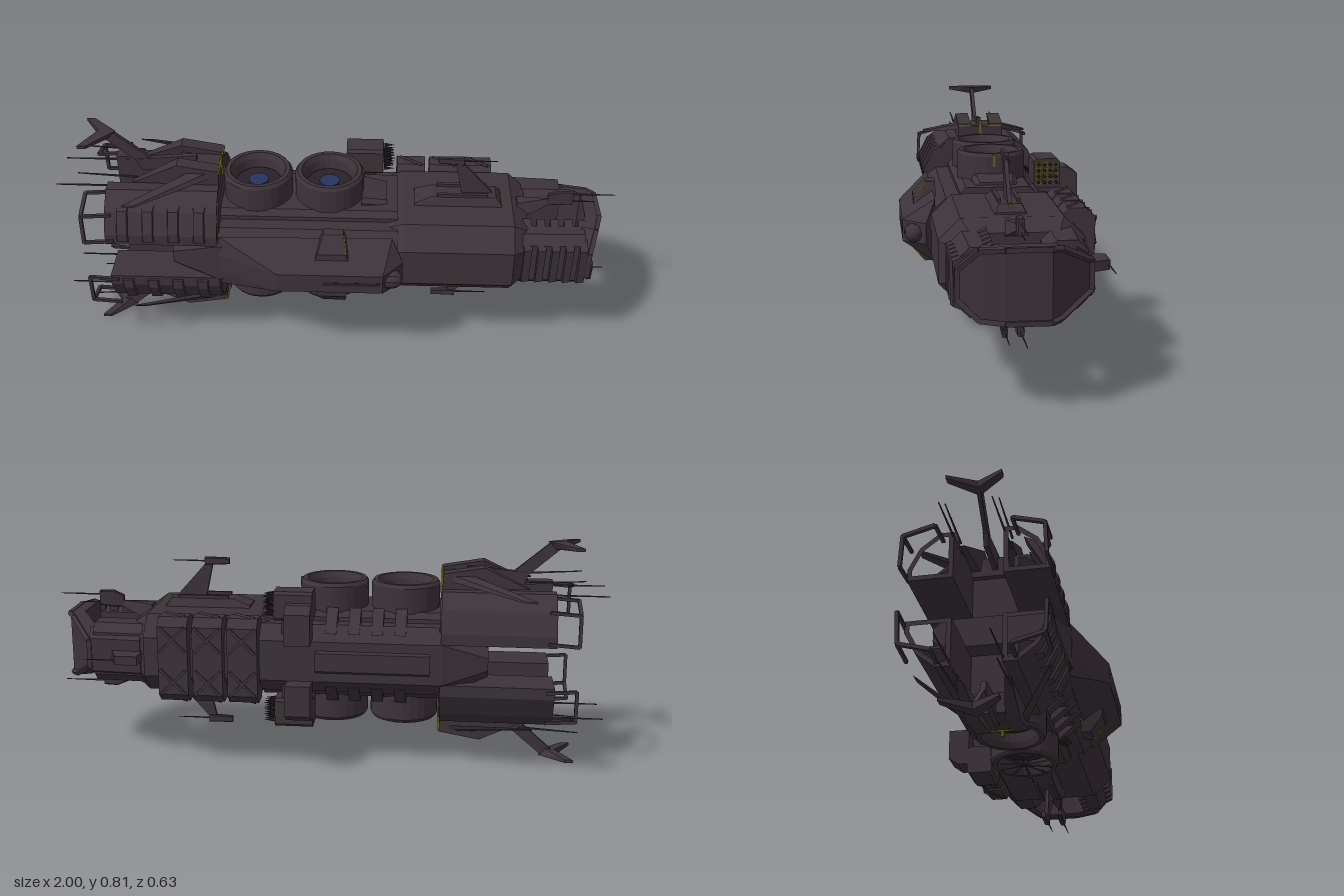
import * as THREE from 'three';
import { ConvexGeometry } from 'three/addons/geometries/ConvexGeometry.js';

const CY = 0.4025, CZ = -0.018; // mirror planes of the ship

export function createModel() {
  const ship = new THREE.Group();
  ship.name = 'spaceship';
  const mat = (name, color) => Object.assign(new THREE.MeshStandardMaterial({ color, flatShading: true }), { name });
  const hullMat = mat('hull plum grey', 0x3d333a);
  const darkMat = mat('dark recess', 0x292127);
  const oliveMat = mat('olive trim', 0x66640f);
  const blueMat = mat('blue glow', 0x27345f);

  // Reflects a geometry in a plane and restores its winding
  function reflect(geo, axis, centre) {
    const g = geo.index ? geo.toNonIndexed() : geo.clone();
    const p = g.attributes.position;
    for (let i = 0; i < p.count; i++) {
      if (axis === 'y') p.setY(i, 2 * centre - p.getY(i));
      else p.setZ(i, 2 * centre - p.getZ(i));
    }
    const v = new THREE.Vector3(), w = new THREE.Vector3();
    for (let i = 0; i < p.count; i += 3) {
      v.fromBufferAttribute(p, i + 1); w.fromBufferAttribute(p, i + 2);
      p.setXYZ(i + 1, w.x, w.y, w.z); p.setXYZ(i + 2, v.x, v.y, v.z);
    }
    g.computeVertexNormals();
    return g;
  }
  // Adds a part, with copies mirrored in y and/or z
  function add(name, geo, mirror = '', m = hullMat) {
    let list = [geo];
    if (mirror.includes('y')) list = list.concat(list.map(g => reflect(g, 'y', CY)));
    if (mirror.includes('z')) list = list.concat(list.map(g => reflect(g, 'z', CZ)));
    for (const g of list) {
      const mesh = new THREE.Mesh(g, m);
      mesh.name = name;
      ship.add(mesh);
    }
  }
  const hull = pts => new ConvexGeometry(pts.map(p => new THREE.Vector3(...p)));
  const box = (x0, x1, y0, y1, z0, z1) =>
    new THREE.BoxGeometry(x1 - x0, y1 - y0, z1 - z0).translate((x0 + x1) / 2, (y0 + y1) / 2, (z0 + z1) / 2);
  // Octagon outline as [z, y]
  const oct = (z0, z1, y0, y1, c) => [[z0 + c, y0], [z1 - c, y0], [z1, y0 + c], [z1, y1 - c],
    [z1 - c, y1], [z0 + c, y1], [z0, y1 - c], [z0, y0 + c]];
  // Convex loft of octagons along x: [x, z0, z1, y0, y1, chamfer]
  const loft = (...secs) => hull(secs.flatMap(([x, ...o]) => oct(...o).map(([z, y]) => [x, y, z])));
  // Extrudes a [z, y] outline along x, with an optional hole
  function extrudeX(outline, hole, x0, x1) {
    const v = a => a.map(([z, y]) => new THREE.Vector2(-z, y));
    const s = new THREE.Shape(v(outline));
    if (hole) s.holes.push(new THREE.Path(v(hole)));
    return new THREE.ExtrudeGeometry(s, { depth: x1 - x0, bevelEnabled: false }).rotateY(Math.PI / 2).translate(x0, 0, 0);
  }
  // Square bar between two points, optionally tapered
  function bar(a, b, w, w2 = w) {
    const p = new THREE.Vector3(...a), q = new THREE.Vector3(...b), d = q.clone().sub(p);
    const g = new THREE.CylinderGeometry(w2 * 0.7, w * 0.7, d.length(), 4).rotateY(Math.PI / 4);
    g.applyQuaternion(new THREE.Quaternion().setFromUnitVectors(new THREE.Vector3(0, 1, 0), d.normalize()));
    return g.translate(...p.add(q).multiplyScalar(0.5).toArray());
  }

  // Main hull
  add('rearHull', loft([-0.58, -0.22, 0.18, 0.35, 0.455, 0.03], [-0.42, -0.25, 0.214, 0.28, 0.525, 0.05], [0.22, -0.25, 0.214, 0.28, 0.525, 0.05]));
  add('engineBulkhead', loft([-0.54, -0.22, 0.184, 0.46, 0.62, 0.06], [-0.41, -0.22, 0.184, 0.46, 0.62, 0.06]), 'y');
  add('deck', loft([-0.43, -0.15, 0.114, 0.5, 0.56, 0.02], [0.22, -0.15, 0.114, 0.5, 0.56, 0.02]), 'y');
  add('forwardHull', loft([0.16, -0.235, 0.2, 0.29, 0.515, 0.06], [0.24, -0.253, 0.217, 0.262, 0.543, 0.07],
    [0.63, -0.253, 0.217, 0.262, 0.543, 0.07], [0.685, -0.21, 0.17, 0.3, 0.505, 0.05]));

  // Left side bulge with its gun pod and angled armour
  add('sideBulge', hull([[-0.41, 0.3, 0.2], [-0.41, 0.51, 0.2], [-0.41, 0.37, 0.215], [-0.41, 0.44, 0.215],
    [-0.2, 0.365, 0.315], [-0.2, 0.44, 0.315], [0.17, 0.365, 0.315], [0.17, 0.44, 0.315],
    [0.24, 0.365, 0.235], [0.24, 0.44, 0.235], [0.2, 0.29, 0.2], [0.2, 0.52, 0.2]]));
  add('sideArmour', hull([[-0.08, 0.435, 0.27], [0.06, 0.435, 0.27], [-0.06, 0.497, 0.27], [0.04, 0.497, 0.27],
    [-0.04, 0.55, 0.225], [0.03, 0.55, 0.225], [-0.08, 0.435, 0.19], [0.06, 0.435, 0.19], [-0.04, 0.55, 0.19], [0.03, 0.55, 0.19]]), 'y');
  add('armourTrim', bar([0.042, 0.499, 0.27], [0.033, 0.55, 0.227], 0.004), 'y', oliveMat);
  add('gunPod', new THREE.CapsuleGeometry(0.034, 0.2, 4, 10).rotateZ(Math.PI / 2).translate(0.105, 0.4, 0.275));
  add('gunSlot', box(-0.04, 0.16, 0.395, 0.41, 0.305, 0.3155), '', darkMat);
  for (let i = 0; i < 4; i++) {
    const x = -0.275 + i * 0.081;
    const vent = s => hull([x - 0.02, x + 0.02].flatMap(vx => [[vx, 0.5, s * 0.215 + CZ], [vx, 0.575, s * 0.128 + CZ], [vx, 0.5, s * 0.118 + CZ]]));
    add('sideVent', vent(-1), 'y');
    add('underVent', reflect(vent(1), 'y', CY));
  }
  add('rightSidePanel', loft([-0.38, -0.257, -0.2, 0.34, 0.465, 0.03], [0.02, -0.257, -0.2, 0.34, 0.465, 0.03]));

  // Open drum turrets above and below
  const profile = [[0.11, 0.5], [0.11, 0.545], [0.123, 0.555], [0.123, 0.645], [0.115, 0.657], [0.1, 0.657], [0.09, 0.635], [0.085, 0.6], [0, 0.6]];
  for (const x of [-0.283, -0.027]) {
    add('turretDrum', new THREE.LatheGeometry(profile.map(p => new THREE.Vector2(...p)), 28).translate(x, 0, CZ), 'y');
    add('turretFloor', new THREE.CylinderGeometry(0.08, 0.08, 0.006, 24).translate(x, 0.603, CZ), 'y', darkMat);
    add('turretLight', new THREE.CylinderGeometry(0.036, 0.036, 0.006, 16).translate(x, 0.608, CZ), 'y', blueMat);
  }
  for (let i = 0; i < 10; i++) {
    const a = i * Math.PI / 5;
    add('turretGrille', bar([-0.027, 0.15, CZ], [-0.027 + 0.1 * Math.cos(a), 0.15, CZ + 0.1 * Math.sin(a)], 0.006));
  }
  add('sensorDish', new THREE.CylinderGeometry(0.035, 0.025, 0.02, 8).rotateX(0.5).translate(0.0, 0.245, 0.115), '', darkMat);
  add('turretBlock', loft([0.09, -0.1, 0.065, 0.52, 0.585, 0.015], [0.18, -0.09, 0.055, 0.52, 0.57, 0.015]), 'y');
  add('spineStrip', box(0.09, 0.097, 0.61, 0.655, -0.022, -0.014), 'y', oliveMat);

  // Missile launchers with a four by four grid of tubes
  add('missileLauncher', loft([0.03, -0.245, -0.152, 0.545, 0.648, 0.01], [0.165, -0.245, -0.152, 0.545, 0.648, 0.01]), 'y');
  for (let r = 0; r < 4; r++) for (let c = 0; c < 4; c++) {
    const y = 0.565 + r * 0.021, z = -0.229 + c * 0.0205;
    add('tubeCell', box(0.162, 0.167, y - 0.008, y + 0.008, z - 0.008, z + 0.008), 'y', oliveMat);
    add('missileTip', new THREE.ConeGeometry(0.007, 0.04, 6).rotateZ(-Math.PI / 2).translate(0.188, y, z), 'y', darkMat);
  }
  add('launcherMount', loft([0.06, -0.23, -0.17, 0.48, 0.56, 0.01], [0.14, -0.23, -0.17, 0.48, 0.56, 0.01]), 'y');
  add('sideLauncher', hull([0.03, 0.12].flatMap(x => [[x, 0.475, -0.315], [x, 0.585, -0.315], [x, 0.61, -0.28], [x, 0.61, -0.24], [x, 0.475, -0.24]])), 'y');

  // Three cross-braced cargo pods on the right side
  for (const x of [0.27, 0.393, 0.516]) {
    add('cargoPod', loft([x - 0.053, -0.295, -0.18, 0.25, 0.555, 0.03], [x + 0.053, -0.295, -0.18, 0.25, 0.555, 0.03]));
    for (const y of [0.325, 0.48]) for (const s of [-1, 1])
      add('podBrace', bar([x - 0.045, y - 0.045 * s, -0.296], [x + 0.045, y + 0.045 * s, -0.296], 0.01));
    add('podLidBrace', bar([x - 0.04, 0.556, -0.26], [x + 0.04, 0.556, -0.205], 0.008), 'y');
  }

  // Nose: two side walls around an open well
  add('noseWall', loft([0.64, 0.065, 0.175, 0.295, 0.51, 0.03], [0.88, 0.065, 0.17, 0.295, 0.51, 0.03]));
  add('noseWall', loft([0.64, -0.235, -0.1, 0.295, 0.51, 0.03], [0.82, -0.225, -0.1, 0.295, 0.51, 0.03]));
  add('noseArmour', hull([[0.645, 0.31, -0.2], [0.645, 0.5, -0.2], [0.645, 0.34, -0.25], [0.645, 0.46, -0.25],
    [0.83, 0.34, -0.238], [0.83, 0.46, -0.238], [0.84, 0.32, -0.19], [0.84, 0.49, -0.19]]));
  // Swept bow: plates following a bent line, with a rim along the edge
  const bow = [[0.178, 0.898, 0.35, 0.455], [0.115, 0.92, 0.29, 0.515], [0.04, 0.94, 0.285, 0.52],
    [-0.1, 0.94, 0.285, 0.52], [-0.13, 0.917, 0.29, 0.515], [-0.235, 0.832, 0.35, 0.455]];
  for (let i = 0; i < bow.length - 1; i++) {
    const pair = [bow[i], bow[i + 1]];
    add('bowPlate', hull(pair.flatMap(([z, x, y0, y1]) => [[x, y0, z], [x, y1, z], [x - 0.05, y0, z * 0.9], [x - 0.05, y1, z * 0.9]])));
    const [[z0, x0, , t0], [z1, x1, , t1]] = pair;
    add('bowRim', bar([x0, t0 - 0.006, z0], [x1, t1 - 0.006, z1], 0.016), 'y');
  }
  for (const [z, x, y0, y1] of [bow[0], bow[5]]) add('bowRim', bar([x, y0, z], [x, y1, z], 0.016));
  // Ribs wrapped over the left wall
  for (let i = 0; i < 5; i++) {
    const x = 0.665 + i * 0.049;
    add('noseRib', hull([[x, 0, 0.07], [x + 0.03, 0, 0.07], [x, 0.05, 0.197], [x + 0.028, 0.05, 0.19]].flatMap(([rx, dy, z]) =>
      [[rx, 0.283 + dy, z], [rx, 0.522 - dy, z]])));
  }

  // Forward masts, sensors and needles
  add('mastBase', loft([0.28, -0.07, 0.034, 0.52, 0.55, 0.005], [0.34, -0.06, 0.024, 0.52, 0.573, 0.005], [0.57, -0.06, 0.024, 0.52, 0.573, 0.005], [0.59, -0.07, 0.034, 0.52, 0.55, 0.005]), 'y');
  add('mast', hull([CZ - 0.007, CZ + 0.007].flatMap(z => [[0.45, 0.56, z], [0.57, 0.56, z], [0.42, 0.7, z], [0.445, 0.7, z], [0.455, 0.62, z], [0.49, 0.6, z]])), 'y');
  add('mastHead', loft([0.36, -0.026, -0.01, 0.695, 0.718, 0.003], [0.45, -0.028, -0.008, 0.69, 0.72, 0.004]), 'y');
  add('mastNeedle', bar([0.45, 0.705, CZ], [0.57, 0.705, CZ], 0.005, 0.002), 'y');
  add('mastTrim', box(0.572, 0.58, 0.555, 0.575, -0.023, -0.013), 'y', oliveMat);
  for (const z of [-0.05, 0.014]) add('deckRail', bar([0.36, 0.578, z], [0.54, 0.578, z], 0.012), 'y');
  add('noseSensorArm', hull([[0.65, 0.48, -0.06], [0.65, 0.48, 0.024], [0.65, 0.54, -0.04], [0.65, 0.54, 0.004],
    [0.77, 0.53, -0.026], [0.77, 0.53, -0.01], [0.77, 0.55, CZ]]), 'y');
  add('noseSensor', loft([0.76, -0.026, -0.01, 0.525, 0.57, 0.004], [0.8, -0.028, -0.008, 0.525, 0.587, 0.004], [0.85, -0.028, -0.008, 0.53, 0.585, 0.004]), 'y');
  add('noseNeedle', bar([0.84, 0.57, CZ], [1.0, 0.57, CZ], 0.006, 0.002), 'y');
  add('noseNeedle', bar([0.84, 0.54, CZ], [0.93, 0.54, CZ], 0.005, 0.002), 'y');
  add('sideSensor', hull([0.388, 0.42].flatMap(y => [[0.64, y, -0.24], [0.75, y, -0.24], [0.64, y, -0.315], [0.72, y, -0.315]])));
  add('sideNeedle', bar([0.7, 0.404, -0.311], [0.83, 0.404, -0.311], 0.005, 0.002));

  // Four hollow engine prongs with tail frames, ribbed on the left
  const outer = [[0.062, 0.475], [0.21, 0.475], [0.21, 0.515], [0.172, 0.59], [0.108, 0.64], [0.062, 0.64]];
  const inner = [[0.078, 0.491], [0.194, 0.491], [0.194, 0.512], [0.16, 0.579], [0.102, 0.624], [0.078, 0.624]];
  add('engineDuct', extrudeX(outer, inner, -0.81, -0.64), 'yz');
  add('engineBody', extrudeX(outer, null, -0.64, -0.415), 'yz');
  add('engineNozzle', extrudeX(inner, null, -0.652, -0.645), 'yz', darkMat);
  for (let i = 0; i < 4; i++) {
    const x = -0.775 + i * 0.09;
    add('engineRib', hull([[x, 0.48, 0.2], [x + 0.055, 0.48, 0.2], [x + 0.01, 0.49, 0.215], [x + 0.045, 0.49, 0.215],
      [x + 0.01, 0.525, 0.215], [x + 0.045, 0.525, 0.215], [x + 0.01, 0.596, 0.178], [x + 0.045, 0.596, 0.178],
      [x, 0.62, 0.12], [x + 0.055, 0.62, 0.12]]), 'y');
  }
  const frame = [[0.212, 0.49], [0.207, 0.6], [0.104, 0.628]];
  frame.forEach(([z, y], i) => {
    add('tailFrame', bar([-0.78, y, z], [-0.885, y - 0.008, z], 0.011), 'yz');
    if (i < 2) add('tailFrame', bar([-0.885, y - 0.008, z], [-0.885, frame[i + 1][1] - 0.008, frame[i + 1][0]], 0.012), 'yz');
  });
  add('tailNeedle', bar([-0.7, 0.627, 0.065], [-0.995, 0.627, 0.065], 0.008, 0.003), 'yz');
  add('tailNeedle', bar([-0.7, 0.668, 0.068], [-0.91, 0.68, 0.068], 0.007, 0.003), 'yz');

  // Tail fins with crossbar tips, saddle and winglets
  add('finSaddle', hull([[-0.56, 0.62, -0.105], [-0.56, 0.62, 0.07], [-0.56, 0.69, -0.1], [-0.56, 0.69, 0.065],
    [-0.415, 0.62, -0.105], [-0.415, 0.62, 0.07], [-0.415, 0.685, -0.1], [-0.415, 0.685, 0.065]]), 'y');
  add('saddleRail', hull([0.02, 0.07].flatMap(z => [[-0.72, 0.645, z + (0.07 - z) * 0.6], [-0.56, 0.72, z], [-0.415, 0.695, z], [-0.415, 0.64, z]])), 'yz');
  add('saddleTrim', box(-0.418, -0.41, 0.687, 0.692, -0.105, 0.07), 'y', oliveMat);
  add('finTrim', box(-0.417, -0.409, 0.63, 0.71, -0.023, -0.013), 'y', oliveMat);
  add('tailFin', hull([CZ - 0.009, CZ + 0.009].flatMap(z => [[-0.5, 0.64, z], [-0.5, 0.71, z], [-0.7, 0.645, z], [-0.72, 0.69, z]])), 'y');
  add('tailFin', hull([CZ - 0.007, CZ + 0.007].flatMap(z => [[-0.68, 0.65, z], [-0.66, 0.69, z], [-0.84, 0.79, z], [-0.79, 0.8, z]])), 'y');
  add('finTip', hull([[-0.78, 0.803, CZ], [-0.84, 0.805, CZ], [-0.8, 0.775, CZ], [-0.84, 0.78, CZ],
    [-0.9, 0.785, 0.073], [-0.87, 0.785, 0.073], [-0.9, 0.796, 0.073], [-0.87, 0.796, 0.073]]), 'yz');
  add('winglet', hull([[-0.45, 0.69, 0.065], [-0.52, 0.69, 0.065], [-0.45, 0.668, 0.075], [-0.52, 0.668, 0.075],
    [-0.7, 0.632, 0.194], [-0.74, 0.632, 0.194], [-0.7, 0.626, 0.196], [-0.74, 0.626, 0.196]]), 'yz');
  return ship;
}
